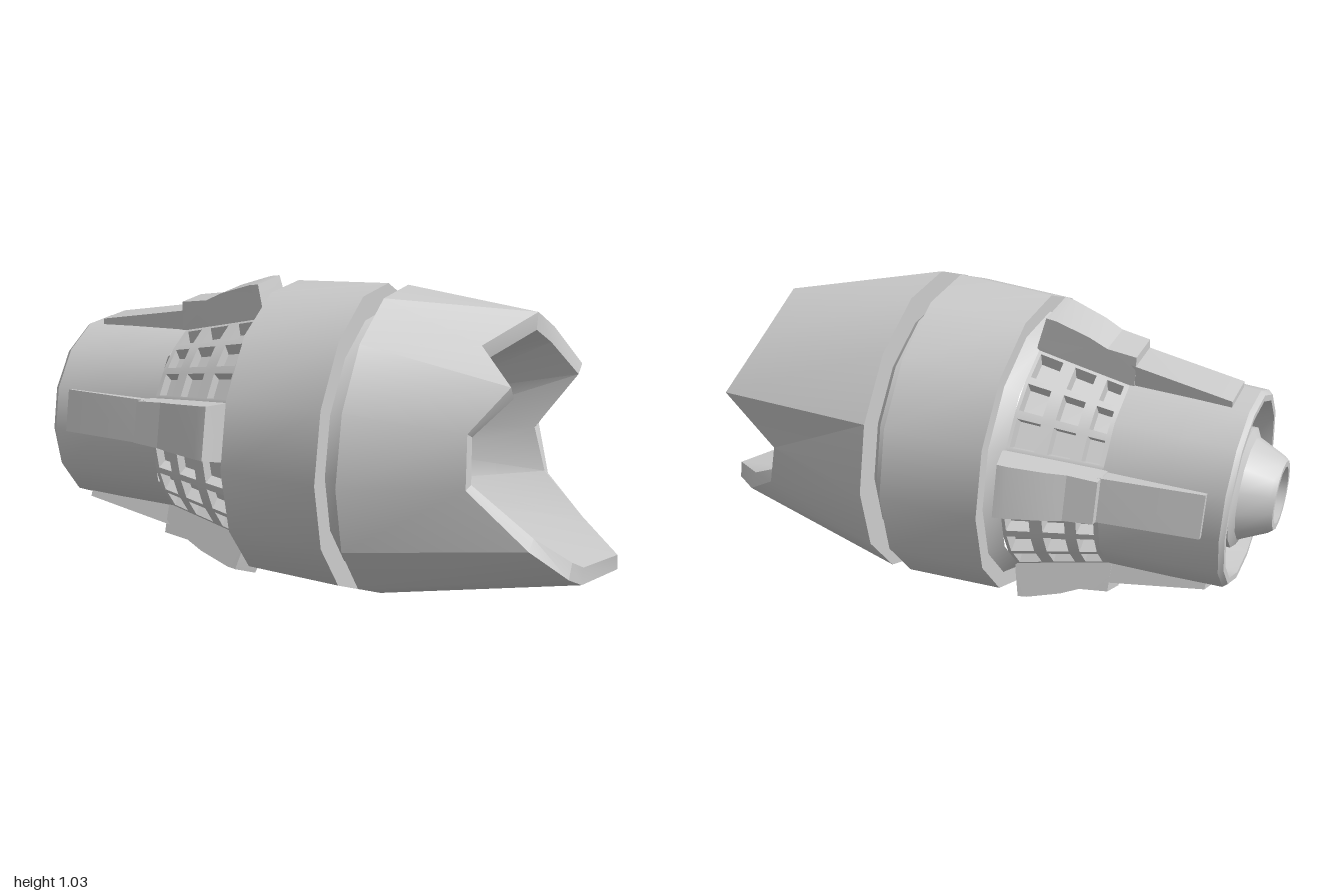
import * as THREE from 'three';
import { toCreasedNormals } from 'three/addons/utils/BufferGeometryUtils.js';

const SIDES = 14, STEP = (Math.PI * 2) / SIDES, CREASE = 0.55, DEG = Math.PI / 180;
const material = new THREE.MeshStandardMaterial({ color: 0xcccccc });

function addMesh(parent, name, geometry) {
  const mesh = new THREE.Mesh(geometry, material);
  mesh.name = name;
  parent.add(mesh);
  return mesh;
}

// Profile of [radius, x] pairs spun around the x axis
function spin(profile) {
  const g = new THREE.LatheGeometry(profile.map(([r, x]) => new THREE.Vector2(r, x)), SIDES);
  g.rotateZ(-Math.PI / 2);
  return toCreasedNormals(g, CREASE);
}

// Point around the x axis; angle runs from +z towards +y
const polar = (x, r, a) => [x, r * Math.sin(a), r * Math.cos(a)];

// Radius of the 14-sided outline at any angle
function sideRadius(r, a) {
  const t = ((a % STEP) + STEP) % STEP - STEP / 2;
  return (r * Math.cos(STEP / 2)) / Math.cos(t);
}

function fromQuads(quads, crease) {
  const pos = [];
  for (const [a, b, c, d] of quads) pos.push(...a, ...b, ...c, ...a, ...c, ...d);
  const g = new THREE.BufferGeometry();
  g.setAttribute('position', new THREE.Float32BufferAttribute(pos, 3));
  return toCreasedNormals(g, crease);
}

// Tapering skin with rows of recessed windows between the fins
function grille() {
  const x0 = -0.5, x1 = -0.2, depth = 0.045, half = 6.6;
  const radius = x => 0.34 + ((x - x0) / (x1 - x0)) * 0.075;
  const columns = [[-0.485, -0.43], [-0.395, -0.325], [-0.285, -0.21]];
  const rows = [];
  for (const c of [51.43, 128.57, 205.71, 334.29]) rows.push(c - 17, c, c + 17);
  rows.push(261.5, 278.5);
  const xs = [x0, ...columns.flat(), x1];
  const angles = rows.flatMap(c => [c - half, c + half]);
  for (let i = 0; i <= SIDES; i++) {
    const a = (i * 360) / SIDES;
    if (!rows.some(c => Math.abs(c - a) < half + 0.2)) angles.push(a);
  }
  angles.sort((a, b) => a - b);
  const quads = [];
  for (let i = 0; i < angles.length - 1; i++) {
    const a0 = angles[i] * DEG, a1 = angles[i + 1] * DEG;
    const mid = (angles[i] + angles[i + 1]) / 2;
    const inRow = rows.some(c => Math.abs(c - mid) < half);
    for (let j = 0; j < xs.length - 1; j++) {
      const corners = drop => [[xs[j], a0], [xs[j + 1], a0], [xs[j + 1], a1], [xs[j], a1]]
        .map(([x, a]) => polar(x, sideRadius(radius(x), a) - drop, a));
      const top = corners(0);
      if (!(inRow && j % 2 === 1)) { quads.push(top); continue; }
      const floor = corners(depth);
      quads.push(floor);
      for (let k = 0; k < 4; k++) {
        const n = (k + 1) % 4;
        quads.push([top[k], top[n], floor[n], floor[k]]);
      }
    }
  }
  return fromQuads(quads, CREASE);
}

// Broken-edged shell: each corner of the rim has its own reach and radius
function shroud() {
  const reach = [0.61, 0.60, 0.70, 0.56, 0.69, 0.70, 0.77, 0.64, 0.69, 0.85, 1.0, 0.92, 0.91, 0.81];
  const rim = [0.385, 0.39, 0.38, 0.39, 0.472, 0.475, 0.493, 0.387, 0.39, 0.387, 0.39, 0.39, 0.387, 0.407];
  const rings = [
    () => [0.24, 0.42],
    () => [0.24, 0.525],
    i => [reach[i], rim[i]],
    i => [reach[i], rim[i] - 0.058],
    () => [0.27, 0.24],
    () => [0.27, 0],
  ];
  const at = (j, i) => {
    const [x, r] = rings[j](i % SIDES);
    return polar(x, r, i * STEP);
  };
  const quads = [];
  for (let j = 0; j < rings.length - 1; j++)
    for (let i = 0; i < SIDES; i++)
      quads.push([at(j, i), at(j + 1, i), at(j + 1, i + 1), at(j, i + 1)]);
  return fromQuads(quads, 0.45);
}

// Side profile of [x, radius] pairs, widened by a rule of x and height
function finPart(profile, halfWidth) {
  const shape = new THREE.Shape(profile.map(([x, r]) => new THREE.Vector2(x, r)));
  const g = new THREE.ExtrudeGeometry(shape, { depth: 2, bevelEnabled: false });
  g.translate(0, 0, -1);
  const p = g.attributes.position;
  for (let i = 0; i < p.count; i++) p.setZ(i, p.getZ(i) * halfWidth(p.getX(i), p.getY(i)));
  return toCreasedNormals(g, 0.2);
}

function createFin(slab, block, angle) {
  const fin = new THREE.Group();
  fin.name = 'fin';
  addMesh(fin, 'finSlab', slab);
  addMesh(fin, 'finBlock', block);
  fin.rotation.x = Math.PI / 2 - angle * DEG;
  return fin;
}

export function createModel() {
  const model = new THREE.Group();
  model.name = 'thruster';
  const body = new THREE.Group();
  body.name = 'body';
  body.position.y = 0.52;
  model.add(body);

  // Rear nozzle with its bore
  addMesh(body, 'nozzle', spin([
    [0, -0.88], [0.09, -0.88], [0.095, -1], [0.115, -1], [0.127, -0.985],
    [0.17, -0.895], [0.2, -0.88], [0.2, -0.81],
  ]));
  // Rear housing with a recess around the nozzle
  addMesh(body, 'rearHousing', spin([
    [0.15, -0.82], [0.285, -0.82], [0.295, -0.9], [0.315, -0.9], [0.328, -0.885],
    [0.335, -0.71], [0.34, -0.5],
  ]));
  addMesh(body, 'grille', grille());
  // Collar, wide band and front neck
  addMesh(body, 'band', spin([
    [0.415, -0.2], [0.455, -0.158], [0.51, -0.158], [0.525, 0.17],
    [0.44, 0.17], [0.437, 0.225], [0.42, 0.245],
  ]));
  addMesh(body, 'shroud', shroud());

  // Five fins sitting on flats of the housing
  const slab = finPart(
    [[-0.83, 0.28], [-0.2, 0.36], [-0.2, 0.42], [-0.5, 0.4], [-0.83, 0.342]],
    () => 0.072);
  const block = finPart(
    [[-0.515, 0.31], [-0.19, 0.37], [-0.195, 0.42], [-0.218, 0.515], [-0.25, 0.51],
      [-0.36, 0.472], [-0.42, 0.442], [-0.515, 0.428]],
    (x, r) => 0.077 + (x + 0.515) * 0.06 - (r > 0.425 ? 0.008 : 0));
  for (const angle of [90, 12.86, 167.14, -64.29, -115.71]) body.add(createFin(slab, block, angle));

  return model;
}
